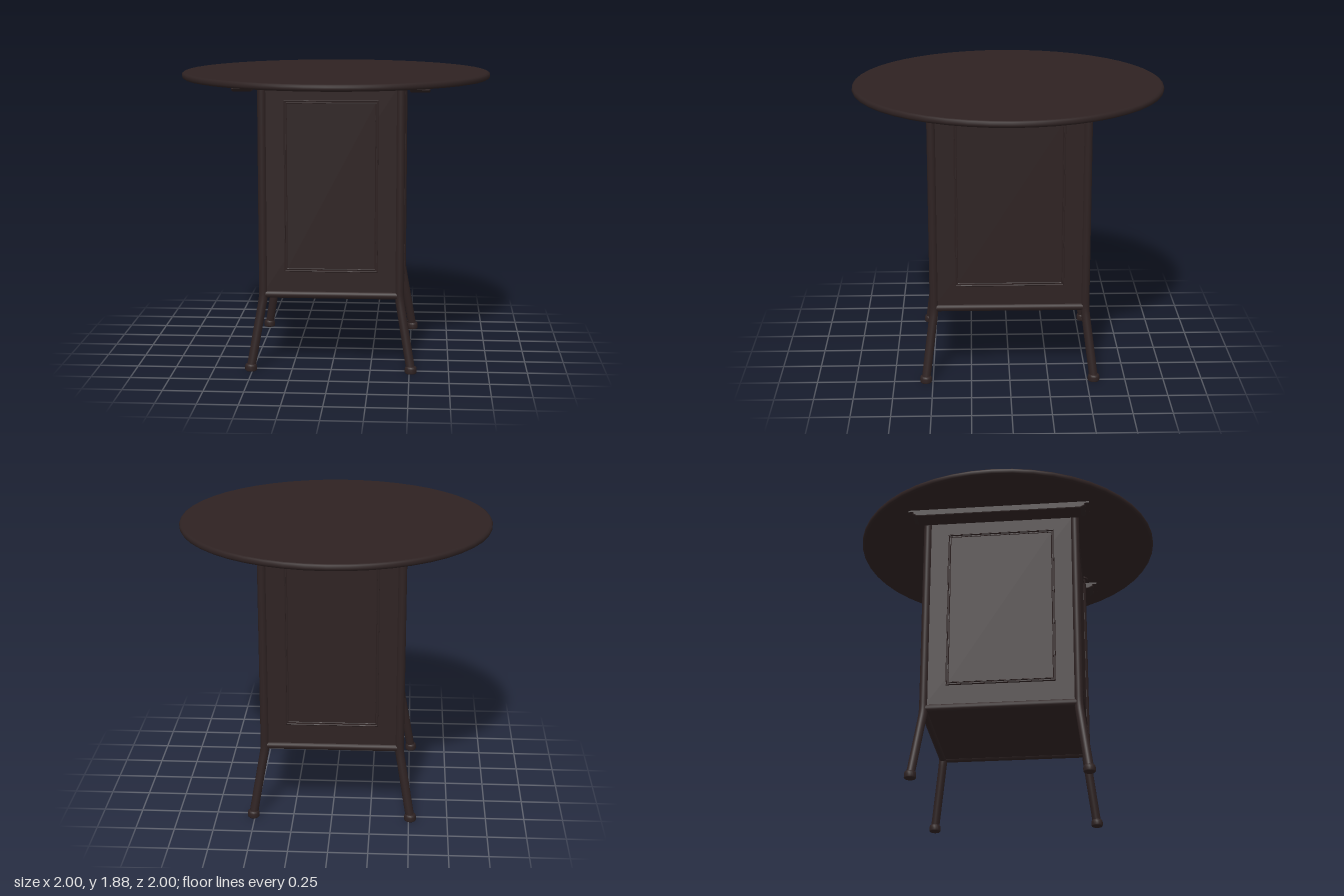
import * as THREE from 'three';

export function createModel() {
  const group = new THREE.Group();
  const wood = new THREE.MeshStandardMaterial({ color: 0x2e2222 });
  wood.name = 'dark brown';
  const add = (name, geometry, x = 0, y = 0, z = 0, parent = group) => {
    const mesh = new THREE.Mesh(geometry, wood);
    mesh.name = name;
    mesh.position.set(x, y, z);
    parent.add(mesh);
    return mesh;
  };
  const V = (x, y, z) => new THREE.Vector3(x, y, z);

  // Round top with a softened rim
  const rim = [[0, 1.83], [0.985, 1.83], [0.985, 1.83], [0.995, 1.836], [1, 1.845], [1, 1.858],
    [0.995, 1.867], [0.985, 1.872], [0.985, 1.872], [0, 1.876]];
  add('tableTop', new THREE.LatheGeometry(rim.map(p => new THREE.Vector2(...p)), 48));

  // Bent corner legs: upright post, soft bend, splayed lower part, round foot
  const PX = 0.433, PZ = 0.487;
  const foot = [[0, 0], [0.034, 0], [0.038, 0.006], [0.038, 0.03], [0.034, 0.042], [0.026, 0.046], [0, 0.046]]
    .map(p => new THREE.Vector2(...p));
  for (const sx of [-1, 1]) for (const sz of [-1, 1]) {
    const x = sx * PX, z = sz * PZ, fx = sx * 0.51, fz = sz * 0.545;
    const low = V(fx, 0.02, fz), bend = V(x, 0.47, z);
    const path = new THREE.CurvePath();
    const start = bend.clone().lerp(low, 0.09), end = V(x, 0.51, z);
    path.add(new THREE.LineCurve3(low, start));
    path.add(new THREE.QuadraticBezierCurve3(start, bend, end));
    path.add(new THREE.LineCurve3(end, V(x, 1.83, z)));
    add('leg', new THREE.TubeGeometry(path, 64, 0.028, 12));
    add('foot', new THREE.LatheGeometry(foot, 16), fx, 0, fz);
    add('postCap', new THREE.CylinderGeometry(0.045, 0.045, 0.01, 16), x, 1.825, z);
  }

  // One panelled side: rail, flat panel, thin nested mouldings
  const rect = (Type, w, h) => {
    const s = new Type();
    s.moveTo(-w, -h); s.lineTo(w, -h); s.lineTo(w, h); s.lineTo(-w, h); s.closePath();
    return s;
  };
  const moulding = (w, h, t, depth) => {
    const s = rect(THREE.Shape, w, h);
    s.holes.push(rect(THREE.Path, w - t, h - t));
    return new THREE.ExtrudeGeometry(s, {
      depth, bevelEnabled: true, bevelSize: 0.003, bevelThickness: 0.003, bevelOffset: -0.003, bevelSegments: 1,
    });
  };
  const makeSide = (name, half, dist, angle) => {
    const side = new THREE.Group();
    side.name = name;
    side.rotation.y = angle;
    const rail = new THREE.CylinderGeometry(0.025, 0.025, half * 2, 12);
    rail.rotateZ(Math.PI / 2);
    add('bottomRail', rail, 0, 0.49, dist, side);
    add('panel', new THREE.BoxGeometry(half * 2 - 0.02, 1.315, 0.024), 0, 1.1675, dist, side);
    const w = half - 0.138, y = 1.185;
    add('outerMoulding', moulding(w, 0.545, 0.009, 0.008), 0, y, dist + 0.01, side);
    add('innerMoulding', moulding(w - 0.013, 0.53, 0.007, 0.004), 0, y, dist + 0.01, side);
    add('raisedField', new THREE.BoxGeometry(2 * (w - 0.02), 1.046, 0.006), 0, y, dist + 0.012, side);
    group.add(side);
  };
  makeSide('frontSide', PX, PZ, 0);
  makeSide('backSide', PX, PZ, Math.PI);
  makeSide('leftSide', PZ, PX, Math.PI / 2);
  makeSide('rightSide', PZ, PX, -Math.PI / 2);

  // Cabinet floor
  add('floor', new THREE.BoxGeometry(PX * 2, 0.02, PZ * 2), 0, 0.49, 0);

  // Battens under the top, chamfered at their ends
  const profile = new THREE.Shape();
  [[-0.565, 1.83], [-0.565, 1.802], [-0.535, 1.785], [0.535, 1.785], [0.565, 1.802], [0.565, 1.83]]
    .forEach((p, i) => (i ? profile.lineTo(...p) : profile.moveTo(...p)));
  profile.closePath();
  for (const s of [-1, 1]) {
    const geometry = new THREE.ExtrudeGeometry(profile, {
      depth: 0.11, bevelEnabled: true, bevelSize: 0.008, bevelThickness: 0.008, bevelOffset: -0.008, bevelSegments: 2,
    });
    geometry.translate(0, 0, -0.055);
    geometry.rotateY(Math.PI / 2);
    add('batten', geometry, s * 0.552, 0, 0);
    add('battenPlate', new THREE.BoxGeometry(0.126, 0.012, 1.18), s * 0.552, 1.825, 0);
  }
  return group;
}
